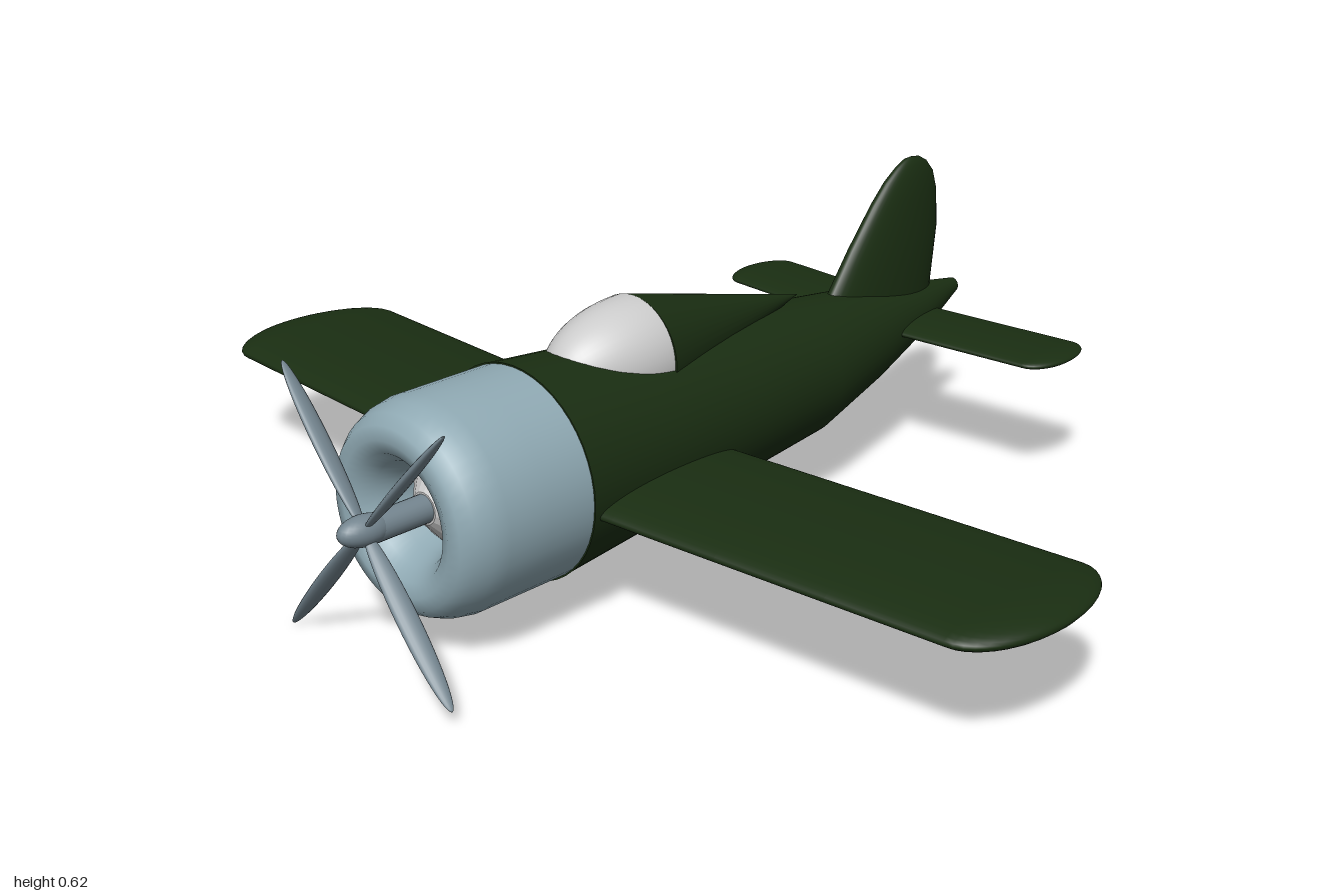
import * as THREE from 'three';

const green = new THREE.MeshStandardMaterial({ color: 0x1a2e12, side: THREE.DoubleSide });
const blue = new THREE.MeshStandardMaterial({ color: 0x8fa9b3, side: THREE.DoubleSide });
const steel = new THREE.MeshStandardMaterial({ color: 0x74858f });
const grey = new THREE.MeshStandardMaterial({ color: 0xcccccc });
const engineGrey = new THREE.MeshStandardMaterial({ color: 0xcccccc, flatShading: true });

function part(name, geometry, material, parent) {
  const mesh = new THREE.Mesh(geometry, material);
  mesh.name = name;
  parent.add(mesh);
  return mesh;
}

// Skin a row of closed rings; point(section, cos, sin) gives one ring corner.
function loft(sections, point, n = 40) {
  const pos = [], index = [];
  sections.forEach((s, i) => {
    for (let j = 0; j < n; j++) {
      const t = (j / n) * Math.PI * 2;
      pos.push(...point(s, Math.cos(t), Math.sin(t)));
      if (i === sections.length - 1) continue;
      const a = i * n + j, b = i * n + (j + 1) % n;
      index.push(a, a + n, b, b, a + n, b + n);
    }
  });
  const g = new THREE.BufferGeometry();
  g.setAttribute('position', new THREE.Float32BufferAttribute(pos, 3));
  g.setIndex(index);
  g.computeVertexNormals();
  return g;
}

// Straight swept panel from tip to tip with elliptical rounded ends.
function panel({ span, tip, chord, thick, zRoot, zTip, y }) {
  const xs = [0, 0.25, 0.5, 0.75, 1].map((u) => u * (span - tip));
  for (let k = 1; k <= 10; k++) xs.push(span - tip + tip * Math.sin((k / 10) * Math.PI / 2));
  const all = [...xs.slice(1).reverse().map((x) => -x), ...xs];
  return loft(all, (x, c, s) => {
    const ax = Math.abs(x);
    const u = Math.max(0, (ax - span + tip) / tip);
    const round = Math.sqrt(Math.max(0, 1 - u * u));
    const zc = zRoot + (zTip - zRoot) * Math.min(1, ax / (span - tip));
    return [x, y + s * thick * Math.max(round, u < 1 ? 0.2 : 0) * (1 + 0.15 * c), zc + c * chord * round];
  });
}

export function createModel() {
  const plane = new THREE.Group();
  plane.name = 'airplane';

  // Fuselage: z, top, bottom, half width
  const body = [
    [0.44, 0.463, 0.06, 0.203], [0.2, 0.441, 0.08, 0.184], [-0.05, 0.418, 0.1, 0.164],
    [-0.29, 0.395, 0.12, 0.143], [-0.5, 0.372, 0.17, 0.1], [-0.68, 0.342, 0.225, 0.056],
    [-0.83, 0.318, 0.287, 0.015], [-0.831, 0.303, 0.302, 0.0005],
  ];
  part('fuselage', loft(body, ([z, top, bottom, w], c, s) =>
    [c * w, (top + bottom) / 2 + s * (top - bottom) / 2, z], 48), green, plane);
  part('firewall', new THREE.CircleGeometry(0.203, 48), green, plane).position.set(0, 0.261, 0.44);

  // Flying surfaces
  part('wing', panel({ span: 1, tip: 0.1, chord: 0.19, thick: 0.026, zRoot: 0.25, zTip: 0.19, y: 0.231 }), green, plane);
  part('tailplane', panel({ span: 0.43, tip: 0.05, chord: 0.093, thick: 0.013, zRoot: -0.628, zTip: -0.657, y: 0.283 }),
    green, plane).position.x = -0.01;

  // Fin: y, front z, back z, half thickness
  const fin = [
    [0.3, -0.36, -0.735, 0.042], [0.38, -0.415, -0.745, 0.039], [0.46, -0.475, -0.756, 0.034],
    [0.54, -0.543, -0.75, 0.027], [0.58, -0.583, -0.737, 0.021], [0.605, -0.618, -0.715, 0.014],
    [0.617, -0.642, -0.692, 0.008], [0.621, -0.666, -0.667, 0.0005],
  ];
  part('fin', loft(fin, ([y, front, back, w], c, s) =>
    [c * w, y, (front + back) / 2 + s * (front - back) / 2]), green, plane);

  // Canopy and the fairing that tapers behind it
  const dome = new THREE.SphereGeometry(1, 40, 20, 0, Math.PI * 2, 0, Math.PI / 2);
  dome.rotateX(Math.PI / 2).scale(0.108, 0.11, 0.205);
  part('canopy', dome, grey, plane).position.set(0, 0.41, 0.145);
  const fairing = new THREE.ConeGeometry(0.112, 0.46, 40);
  fairing.rotateX(-Math.PI / 2);
  part('canopyFairing', fairing, green, plane).position.set(0, 0.408, -0.085);

  // Engine cowl with rolled lip and dished intake
  const nose = new THREE.Group();
  nose.name = 'nose';
  nose.position.y = 0.261;
  plane.add(nose);
  const lip = [
    [0.2, 0.44], [0.2, 0.54], [0.2, 0.63], [0.194, 0.662], [0.182, 0.69], [0.165, 0.711],
    [0.14, 0.716], [0.115, 0.706], [0.095, 0.68], [0.08, 0.645], [0.07, 0.59],
  ].map(([r, z]) => new THREE.Vector2(r, z));
  part('cowl', new THREE.LatheGeometry(lip, 48).rotateX(Math.PI / 2), blue, nose);
  const engine = new THREE.CylinderGeometry(0.03, 0.076, 0.04, 14).rotateX(Math.PI / 2);
  part('engine', engine, engineGrey, nose).position.z = 0.63;
  const shaft = new THREE.CylinderGeometry(0.026, 0.026, 0.16, 24).rotateX(Math.PI / 2);
  part('propellerShaft', shaft, steel, nose).position.z = 0.7;

  // Propeller, slightly tilted on its shaft
  const propeller = new THREE.Group();
  propeller.name = 'propeller';
  propeller.position.set(0, 0.003, 0.778);
  propeller.rotation.set(-0.05, -0.085, 0);
  nose.add(propeller);
  part('spinner', new THREE.SphereGeometry(1, 24, 16).scale(0.028, 0.028, 0.052), steel, propeller);
  for (const [degrees, length] of [[46, 0.33], [137, 0.338], [228, 0.348], [-43, 0.342]]) {
    const arm = new THREE.Group();
    arm.name = 'bladeArm';
    arm.rotation.z = THREE.MathUtils.degToRad(degrees);
    propeller.add(arm);
    const blade = part('blade', new THREE.SphereGeometry(1, 16, 24).rotateZ(Math.PI / 2)
      .scale(length / 2, 0.009, 0.02), steel, arm);
    blade.position.x = length / 2;
    blade.rotation.x = 0.25;
  }
  return plane;
}
